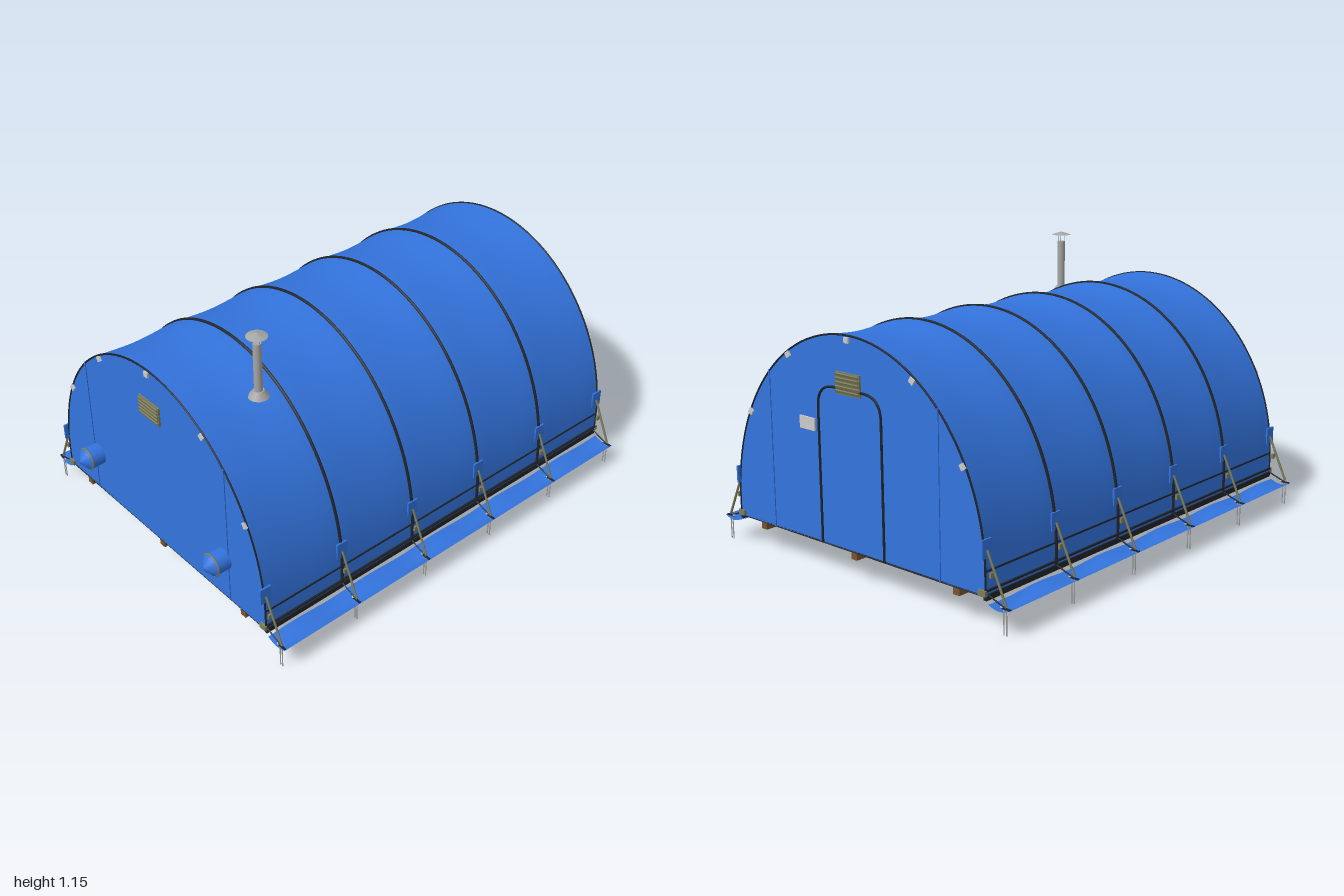
import * as THREE from 'three';

const W = 0.67, BASE = 0.125, SPRING = 0.2, RISE = 0.76;
const FRONT = 0.905, BACK = -0.985;
const RIBS = [0.9, 0.525, 0.15, -0.225, -0.6, -0.975];

const paint = (color) => new THREE.MeshStandardMaterial({ color, side: THREE.DoubleSide, roughness: 0.9 });
const BLUE = paint(0x3374de), DARK = paint(0x20242a), FLOOR = paint(0x2b2b2b), OLIVE = paint(0x7d7d5a);
const WOOD = paint(0x7a5430), STEEL = paint(0xa5a5a5), WHITE = paint(0xdedede);

function add(parent, name, geometry, material, x = 0, y = 0, z = 0) {
  const mesh = new THREE.Mesh(geometry, material);
  mesh.name = name;
  mesh.position.set(x, y, z);
  parent.add(mesh);
  return mesh;
}
const box = (w, h, d) => new THREE.BoxGeometry(w, h, d);
const V = (x, y, z) => new THREE.Vector3(x, y, z);

// Thin straight rod between two points
function rod(parent, name, a, b, r, material) {
  return add(parent, name, new THREE.TubeGeometry(new THREE.LineCurve3(a, b), 1, r, 6), material);
}

// Arch outline from the right foot over the crown to the left foot
function archPoints(n, offset = 0) {
  const pts = [new THREE.Vector2(W + offset, BASE)];
  for (let i = 0; i <= n; i++) {
    const a = Math.PI * i / n;
    pts.push(new THREE.Vector2((W + offset) * Math.cos(a), SPRING + (RISE + offset) * Math.sin(a)));
  }
  pts.push(new THREE.Vector2(-W - offset, BASE));
  return pts;
}

// Grid surface from point(u, v)
function surface(nu, nv, point) {
  const pos = [], idx = [];
  for (let j = 0; j <= nv; j++) for (let i = 0; i <= nu; i++) pos.push(...point(i, j));
  for (let j = 0; j < nv; j++) for (let i = 0; i < nu; i++) {
    const a = j * (nu + 1) + i, b = a + nu + 1;
    idx.push(a, b, a + 1, b, b + 1, a + 1);
  }
  const g = new THREE.BufferGeometry();
  g.setAttribute('position', new THREE.Float32BufferAttribute(pos, 3));
  g.setIndex(idx);
  g.computeVertexNormals();
  return g;
}

// Fabric cover, sagging slightly between the ribs
function buildCover(group) {
  const outline = archPoints(56), steps = 60;
  const geo = surface(outline.length - 1, steps, (i, j) => {
    const p = outline[i];
    const h = Math.max(0, (p.y - SPRING) / RISE);
    const sag = 1 - 0.016 * Math.sqrt(h) * Math.abs(Math.sin(Math.PI * 5 * j / steps)) ** 1.3;
    return [p.x * sag, SPRING + (p.y - SPRING) * sag, BACK + (FRONT - BACK) * (1 - j / steps)];
  });
  add(group, 'fabricCover', geo, BLUE);
}

// Dark band following the arch
function archBand(group, name, z, r, offset) {
  const curve = new THREE.CatmullRomCurve3(archPoints(40, offset).map((p) => V(p.x, p.y, z)));
  add(group, name, new THREE.TubeGeometry(curve, 90, r, 6), DARK);
}

// Louvred vent, facing +z
function louvreVent(parent, y) {
  const vent = new THREE.Group();
  vent.name = 'louvreVent';
  vent.position.set(0, y, 0);
  parent.add(vent);
  add(vent, 'ventFrame', box(0.13, 0.085, 0.008), OLIVE, 0, 0, 0.004);
  for (let i = 0; i < 5; i++) {
    add(vent, 'ventSlat', box(0.122, 0.012, 0.005), OLIVE, 0, -0.032 + i * 0.016, 0.01).rotation.x = 0.4;
  }
}

// Wall with edge clips and seams, facing +z
function endWall(group, name) {
  const wall = new THREE.Group();
  wall.name = name;
  group.add(wall);
  add(wall, 'wallPanel', new THREE.ShapeGeometry(new THREE.Shape(archPoints(56))), BLUE);
  for (const s of [-1, 1]) {
    add(wall, 'wallSeam', box(0.006, 0.64, 0.004), BLUE, s * 0.453, BASE + 0.32, 0.002);
    add(wall, 'cornerFoot', box(0.035, 0.022, 0.012), OLIVE, s * 0.66, 0.138, 0.004);
  }
  for (const [x, y] of [[-0.572, 0.578], [-0.333, 0.843], [0, 0.943], [0.333, 0.843], [0.572, 0.578]]) {
    add(wall, 'edgeClip', box(0.024, 0.022, 0.008), WHITE, x, y, 0.005).rotation.z = -x * 1.7;
  }
  louvreVent(wall, 0.777);
  return wall;
}

// Air port sleeve with a drawn-in tip
function airPort(group, x) {
  const port = new THREE.Group();
  port.name = 'airPort';
  port.position.set(x, 0.32, FRONT);
  group.add(port);
  const profile = [[0.046, 0], [0.046, 0.058], [0.044, 0.066], [0.012, 0.092], [0, 0.095]];
  const sleeve = new THREE.LatheGeometry(profile.map((p) => new THREE.Vector2(...p)), 28);
  add(port, 'portSleeve', sleeve, BLUE).rotation.x = Math.PI / 2;
  add(port, 'portRing', new THREE.TorusGeometry(0.046, 0.004, 8, 32), OLIVE, 0, 0, 0.06);
}

// Stove pipe with flashing and rain cap
function chimney(group) {
  const pipe = new THREE.Group();
  pipe.name = 'chimney';
  pipe.position.set(0.305, 0, 0.62);
  group.add(pipe);
  add(pipe, 'pipe', new THREE.CylinderGeometry(0.017, 0.017, 0.25, 20), STEEL, 0, 0.985, 0);
  add(pipe, 'flashing', new THREE.CylinderGeometry(0.022, 0.042, 0.028, 24), STEEL, 0, 0.888, 0);
  add(pipe, 'rainCap', new THREE.ConeGeometry(0.042, 0.014, 24), STEEL, 0, 1.147, 0);
  for (let i = 0; i < 3; i++) {
    const a = i * Math.PI * 2 / 3;
    add(pipe, 'capStrut', box(0.002, 0.035, 0.002), STEEL, 0.015 * Math.cos(a), 1.124, 0.015 * Math.sin(a));
  }
}

// Zipped doorway on the back wall
function doorway(wall) {
  const path = new THREE.CurvePath();
  const w = 0.17, top = 0.755, r = 0.09, z = 0.004;
  path.add(new THREE.LineCurve3(V(-w, BASE, z), V(-w, top - r, z)));
  path.add(new THREE.QuadraticBezierCurve3(V(-w, top - r, z), V(-w, top, z), V(-w + r, top, z)));
  path.add(new THREE.LineCurve3(V(-w + r, top, z), V(w - r, top, z)));
  path.add(new THREE.QuadraticBezierCurve3(V(w - r, top, z), V(w, top, z), V(w, top - r, z)));
  path.add(new THREE.LineCurve3(V(w, top - r, z), V(w, BASE, z)));
  add(wall, 'doorZip', new THREE.TubeGeometry(path, 120, 0.005, 6), DARK);
  add(wall, 'plate', box(0.085, 0.05, 0.006), WHITE, -0.235, 0.59, 0.003);
}

// Everything along one long side; s is +1 for left, -1 for right
function longSide(group, s) {
  const side = new THREE.Group();
  side.name = s > 0 ? 'leftSide' : 'rightSide';
  group.add(side);
  const mid = (FRONT + BACK) / 2, length = FRONT - BACK;
  add(side, 'seamCord', box(0.006, 0.006, length), DARK, s * W, 0.218, mid);
  add(side, 'baseRail', box(0.014, 0.022, length), DARK, s * 0.668, 0.121, mid);
  add(side, 'baseCord', box(0.008, 0.007, length), DARK, s * 0.674, 0.147, mid);
  // Wavy ground flap
  const flap = surface(6, 60, (i, j) => {
    const u = i / 6, z = BACK + length * j / 60;
    const wave = 0.006 * Math.sin(z * 16.75 + 1) * Math.sin(Math.PI * (0.2 + 0.8 * u));
    return [s * (0.682 + 0.098 * u), 0.1 - 0.012 * Math.sin(Math.PI * u) + wave, z];
  });
  add(side, 'groundFlap', flap, BLUE);
  // Tie-down at every rib
  for (const z of RIBS) {
    const tie = new THREE.Group();
    tie.name = 'tieDown';
    tie.position.z = z;
    side.add(tie);
    add(tie, 'anchorPatch', box(0.008, 0.07, 0.05), BLUE, s * 0.667, 0.3, 0);
    rod(tie, 'guyStrap', V(s * 0.67, 0.295, 0), V(s * 0.757, 0.108, 0), 0.005, OLIVE);
    rod(tie, 'baseStrap', V(s * 0.675, 0.13, 0), V(s * 0.757, 0.1, 0), 0.003, DARK);
    add(tie, 'buckle', box(0.009, 0.02, 0.016), OLIVE, s * 0.69, 0.207, 0);
    for (const x of [0.746, 0.758]) rod(tie, 'stake', V(s * x, 0, 0), V(s * x, 0.102, 0), 0.0025, STEEL);
    add(tie, 'stakeHead', box(0.04, 0.005, 0.008), DARK, s * 0.757, 0.1, 0);
    add(tie, 'grommet', new THREE.CylinderGeometry(0.006, 0.006, 0.004, 10), WHITE, s * 0.737, 0.103, 0);
  }
}

export function createModel() {
  const shelter = new THREE.Group();
  shelter.name = 'archedShelter';
  buildCover(shelter);

  const front = endWall(shelter, 'frontWall');
  front.position.z = FRONT;
  const back = endWall(shelter, 'backWall');
  back.position.z = BACK;
  back.rotation.y = Math.PI;
  doorway(back);

  // Straps over the ribs and piping round both ends
  RIBS.slice(1, -1).forEach((z) => archBand(shelter, 'ribStrap', z, 0.007, 0));
  [FRONT, BACK].forEach((z) => archBand(shelter, 'endPiping', z, 0.004, 0));

  // Floor on three wooden skids
  const mid = (FRONT + BACK) / 2, length = FRONT - BACK;
  add(shelter, 'floor', box(W * 2, 0.008, length), FLOOR, 0, BASE, mid);
  for (const x of [-0.53, 0, 0.53]) add(shelter, 'skid', box(0.03, 0.028, length), WOOD, x, 0.108, mid);

  for (const s of [-1, 1]) {
    airPort(shelter, s * 0.425);
    longSide(shelter, s);
  }
  chimney(shelter);
  return shelter;
}
